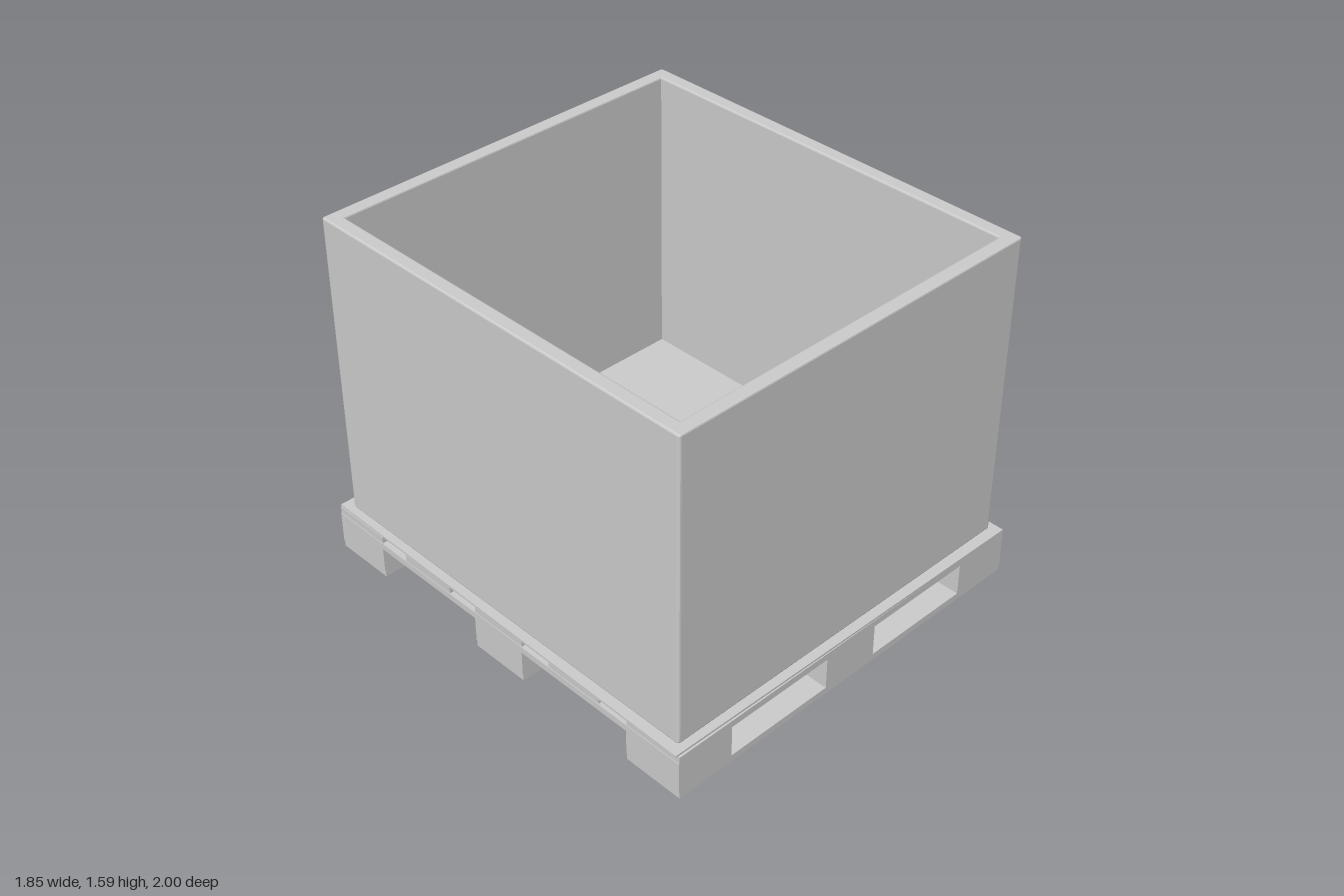
import * as THREE from 'three';

const material = new THREE.MeshStandardMaterial({ color: 0xcccccc, flatShading: true });

// Box given by centre and size in x and z, and by its bottom and top in y
function slab(parent, name, x, z, width, depth, bottom, top) {
  const mesh = new THREE.Mesh(new THREE.BoxGeometry(width, top - bottom, depth), material);
  mesh.position.set(x, (bottom + top) / 2, z);
  mesh.name = name;
  parent.add(mesh);
  return mesh;
}

function roundedRect(target, hx, hy, r) {
  target.moveTo(-hx + r, -hy);
  target.lineTo(hx - r, -hy);
  target.quadraticCurveTo(hx, -hy, hx, -hy + r);
  target.lineTo(hx, hy - r);
  target.quadraticCurveTo(hx, hy, hx - r, hy);
  target.lineTo(-hx + r, hy);
  target.quadraticCurveTo(-hx, hy, -hx, hy - r);
  target.lineTo(-hx, -hy + r);
  target.quadraticCurveTo(-hx, -hy, -hx + r, -hy);
  return target;
}

function createPallet() {
  const pallet = new THREE.Group();
  pallet.name = 'pallet';
  const width = 1.83, blockX = [-0.783, 0, 0.783], runnerZ = [-0.857, 0, 0.857];

  // Bottom runners, each carrying three blocks
  for (const z of runnerZ) {
    slab(pallet, 'bottomBoard', 0, z, width, 0.276, 0, 0.03);
    for (const x of blockX) slab(pallet, 'block', x, z, 0.27, 0.276, 0.03, 0.145);
  }
  // Stringer boards running front to back over the blocks
  for (const x of blockX) slab(pallet, 'stringerBoard', x, 0, 0.27, 1.99, 0.145, 0.174);

  // Top deck boards with gaps between them
  for (const z of [-0.857, -0.43, 0, 0.43, 0.857]) {
    slab(pallet, 'deckBoard', 0, z, width, 0.276, 0.174, 0.205);
  }
  return pallet;
}

function createContainer() {
  const container = new THREE.Group();
  container.name = 'container';
  const bottom = 0.214, top = 1.586, bevel = 0.007;

  // Four walls as one extruded frame with softened edges
  const outline = roundedRect(new THREE.Shape(), 0.88 - bevel, 0.952 - bevel, 0.006);
  outline.holes.push(roundedRect(new THREE.Path(), 0.818 + bevel, 0.892 + bevel, 0.004));
  const geometry = new THREE.ExtrudeGeometry(outline, {
    depth: top - bottom - 2 * bevel,
    bevelThickness: bevel,
    bevelSize: bevel,
    bevelSegments: 2,
    curveSegments: 3,
  });
  geometry.rotateX(-Math.PI / 2);
  const walls = new THREE.Mesh(geometry, material);
  walls.position.y = bottom + bevel;
  walls.name = 'walls';
  container.add(walls);

  slab(container, 'floor', 0, 0, 1.66, 1.81, bottom + 0.001, 0.274);
  return container;
}

export function createModel() {
  const model = new THREE.Group();
  model.name = 'palletBox';
  model.add(createPallet(), createContainer());

  // Thin sheet between pallet and box, lying slightly askew
  const sheet = slab(model, 'sheet', 0, 0, 1.836, 1.984, 0.205, 0.214);
  sheet.rotation.y = -0.007;
  return model;
}
